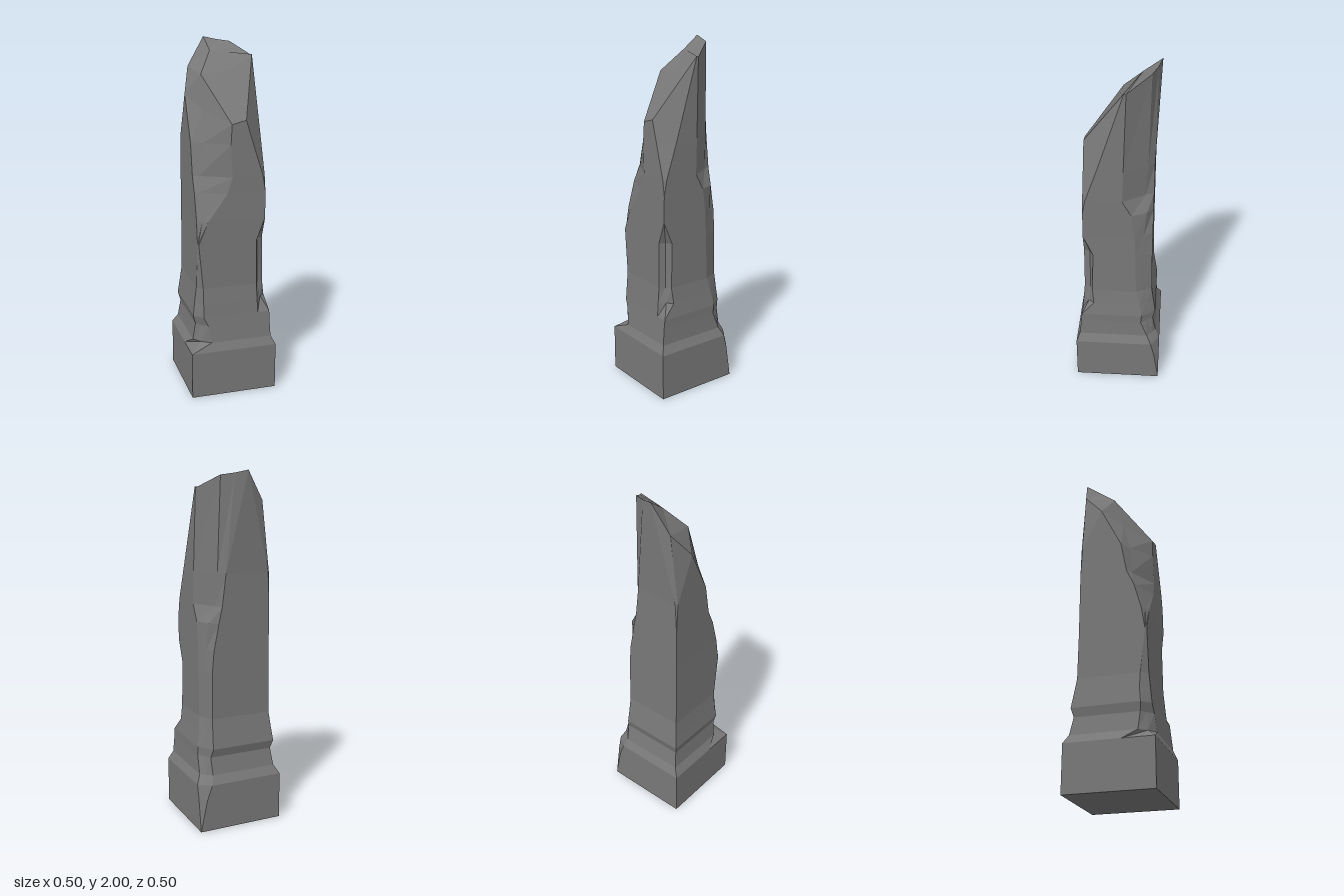
import * as THREE from 'three';

// Cross-section: a rectangle with its own cut [dx, dz, mx, mz] on each corner.
// dx, dz are where the cut starts on each edge; mx, mz set its middle point in from the corner.
// Order: front-right, back-right, back-left, front-left (three points each).
function section(y, x0, x1, z0, z1, fr, br, bl, fl) {
  const corner = (x, z, sx, sz, [dx, dz, mx = dx / 2, mz = dz / 2]) => [
    [x - sx * dx, y, z], [x - sx * mx, y, z - sz * mz], [x, y, z - sz * dz],
  ];
  return [
    ...corner(x1, z1, 1, 1, fr),
    ...corner(x1, z0, 1, -1, br).reverse(),
    ...corner(x0, z0, -1, -1, bl),
    ...corner(x0, z1, -1, 1, fl).reverse(),
  ];
}

// Flat-shaded mesh from a list of corner triples
function facetMesh(name, triangles, material) {
  const geometry = new THREE.BufferGeometry();
  geometry.setAttribute('position', new THREE.Float32BufferAttribute(triangles.flat(2), 3));
  geometry.computeVertexNormals();
  const mesh = new THREE.Mesh(geometry, material);
  mesh.name = name;
  return mesh;
}

// Skin between successive sections
function loft(rings) {
  const tris = [];
  for (let i = 0; i < rings.length - 1; i++) {
    const lo = rings[i], up = rings[i + 1];
    for (let j = 0; j < lo.length; j++) {
      const k = (j + 1) % lo.length;
      tris.push([lo[j], lo[k], up[k]], [lo[j], up[k], up[j]]);
    }
  }
  return tris;
}

export function createModel() {
  const group = new THREE.Group();
  group.name = 'brokenPillar';
  const stone = new THREE.MeshStandardMaterial({ color: 0x787878, flatShading: true });
  const o = [0, 0];

  // Square plinth, chipped at the back right, with rubble on the front left corner
  const plinth = [
    section(0, -0.25, 0.25, -0.25, 0.25, o, o, o, o),
    section(0.19, -0.25, 0.25, -0.25, 0.25, o, [0.04, 0.03], o, o),
    section(0.27, -0.25, 0.25, -0.25, 0.25, o, [0.07, 0.05], o, [0.13, 0.18, 0, 0]),
    section(0.32, -0.22, 0.225, -0.225, 0.23, o, [0.06, 0.05], o, [0.09, 0.08, 0.035, 0.035]),
  ];
  const foot = plinth[0];
  const underside = [[foot[0], foot[6], foot[3]], [foot[0], foot[9], foot[6]]];
  group.add(facetMesh('plinth', [...loft(plinth), ...underside], stone));

  // Shaft: moulding groove at the bottom, worn and chipped corners above
  const shaft = [
    plinth[3],
    section(0.42, -0.207, 0.22, -0.206, 0.22, o, [0.05, 0.07], o, [0.06, 0.06]),
    section(0.47, -0.22, 0.22, -0.22, 0.215, [0.07, 0.07, 0, 0], [0.06, 0.08], o, [0.05, 0.05]),
    section(0.55, -0.21, 0.207, -0.208, 0.208, [0.06, 0.065, 0.03, 0.035], [0.05, 0.08], o, [0.04, 0.05]),
    section(0.64, -0.2, 0.195, -0.195, 0.2, [0.05, 0.05, 0.035, 0.035], [0.04, 0.09], o, [0.03, 0.04]),
    section(0.9, -0.198, 0.193, -0.192, 0.198, [0.05, 0.055, 0.035, 0.035], [0.04, 0.095], o, [0.005, 0.01]),
    section(1.03, -0.197, 0.192, -0.192, 0.198, o, [0.05, 0.1], o, [0.06, 0.03]),
    section(1.18, -0.197, 0.192, -0.192, 0.196, o, [0.08, 0.12, 0.035, 0.035], o, [0.17, 0.07, 0.025, 0.06]),
    section(1.27, -0.197, 0.192, -0.192, 0.195, [0.015, 0.016], [0.1, 0.17, 0.08, 0.045], o, [0.2, 0.11, 0.03, 0.09]),
    section(1.45, -0.197, 0.19, -0.192, 0.192, [0.07, 0.075], [0.12, 0.165, 0.085, 0.035], [0.01, 0.01], [0.19, 0.14, 0.06, 0.1]),
  ];
  // Sloping broken rim, in the same point order as the sections
  const rim = [
    [0.08, 1.58, 0.19], [0.13, 1.745, 0.08], [0.18, 1.91, -0.03],
    [0.18, 1.905, -0.04], [0.09, 1.975, -0.165], [0.02, 1.985, -0.195],
    [-0.05, 2, -0.215], [-0.1, 1.92, -0.2], [-0.15, 1.84, -0.185],
    [-0.197, 1.7, -0.07], [-0.12, 1.62, 0.045], [0, 1.56, 0.19],
  ];
  group.add(facetMesh('shaft', loft([...shaft, rim]), stone));

  // Fractured top: each rim edge fans to one of three inner points
  const a = [-0.04, 1.93, -0.115], b = [-0.12, 1.81, -0.01], c = [0.04, 1.83, 0];
  const apex = [c, c, a, a, a, a, a, a, b, b, b, c];
  const top = [[a, b, c]];
  rim.forEach((p, j) => {
    const before = apex[(j + 11) % 12];
    top.push([p, rim[(j + 1) % 12], apex[j]]);
    if (apex[j] !== before) top.push([p, apex[j], before]);
  });
  group.add(facetMesh('brokenTop', top, stone));

  return group;
}
